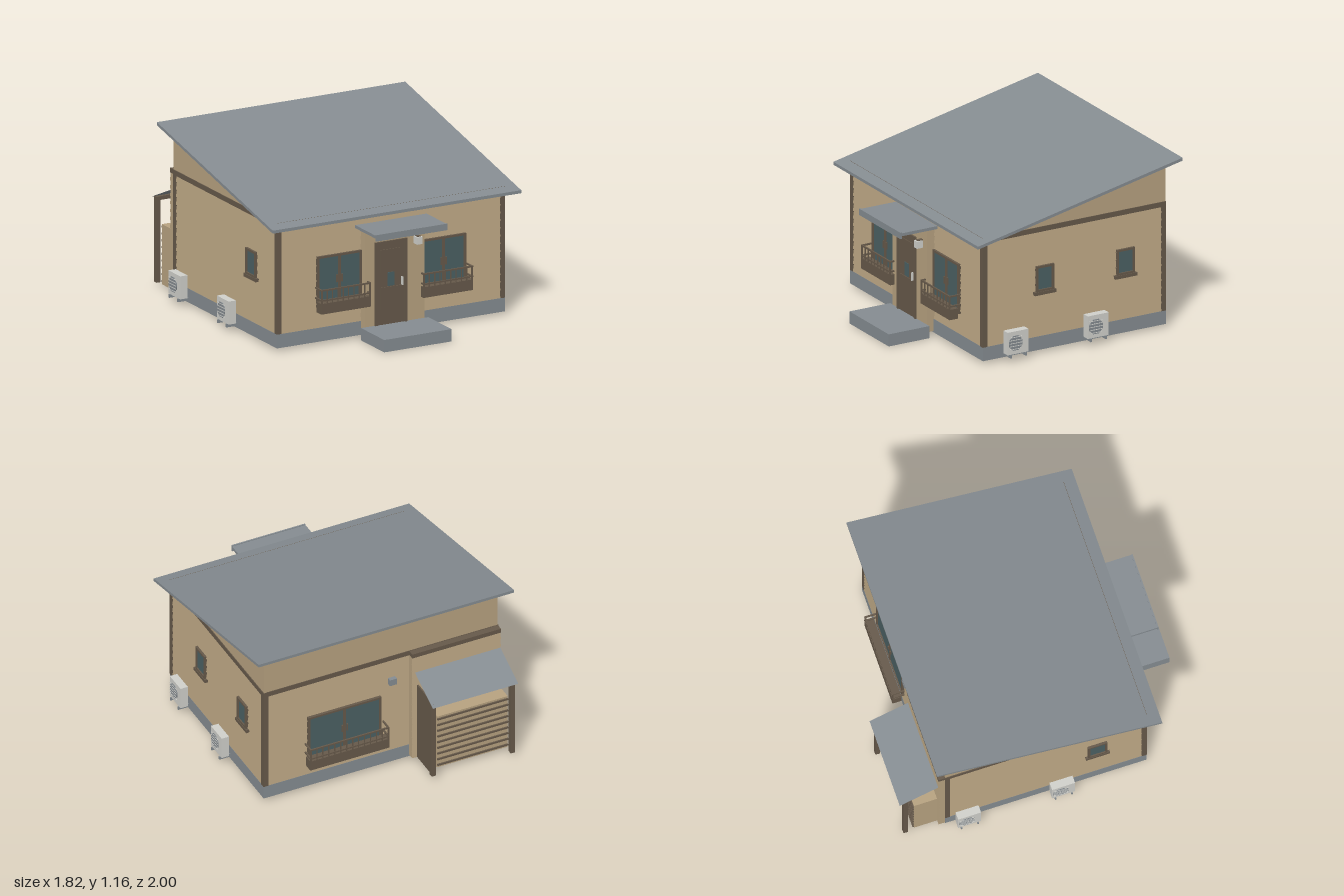
import * as THREE from 'three';

const mat = (name, color, side = THREE.FrontSide) => {
  const m = new THREE.MeshStandardMaterial({ color, side });
  m.name = name;
  return m;
};

export function createModel() {
  const root = new THREE.Group();
  root.name = 'cabin';
  const tan = mat('tan wall', 0xb7a280);
  const brown = mat('brown trim', 0x66594a);
  const grey = mat('grey roof and concrete', 0x858c91);
  const sheet = mat('grey sheet', 0x858c91, THREE.DoubleSide);
  const glass = mat('window glass', 0x4b6063);
  const light = mat('light metal', 0xd0d0cb);

  const add = (parent, name, geo, m) => {
    const mesh = new THREE.Mesh(geo, m);
    mesh.name = name;
    parent.add(mesh);
    return mesh;
  };
  // Box given by its minimum and maximum along each axis
  const box = (parent, name, m, x0, x1, y0, y1, z0, z1) => {
    const b = add(parent, name, new THREE.BoxGeometry(x1 - x0, y1 - y0, z1 - z0), m);
    b.position.set((x0 + x1) / 2, (y0 + y1) / 2, (z0 + z1) / 2);
    return b;
  };
  const group = (parent, name, x = 0, y = 0, z = 0, turn = 0) => {
    const g = new THREE.Group();
    g.name = name;
    g.position.set(x, y, z);
    g.rotation.y = turn;
    parent.add(g);
    return g;
  };

  // Lapped boards facing +z with their outer edge on z = 0
  const siding = (parent, x0, x1, y0, y1, n) => {
    const s = new THREE.Shape();
    const step = (y1 - y0) / n;
    s.moveTo(-0.025, y0);
    for (let i = 0; i < n; i++) {
      s.lineTo(-0.001, y0 + i * step);
      s.lineTo(-0.009, y0 + (i + 1) * step);
    }
    s.lineTo(-0.025, y1);
    const geo = new THREE.ExtrudeGeometry(s, { depth: x1 - x0, bevelEnabled: false });
    geo.rotateY(-Math.PI / 2);
    geo.translate(x1, 0, 0);
    add(parent, 'lapSiding', geo, tan);
  };

  // Framed window, with the glass going through the wall
  const windowUnit = (parent, x, w, y0, y1, split) => {
    const g = group(parent, 'window', x);
    const h = w / 2, t = 0.014;
    box(g, 'glass', glass, -h + 0.004, h - 0.004, y0 + 0.004, y1 - 0.004, -0.028, 0.003);
    for (const s of [-1, 1]) {
      const c = s * (h - t / 2);
      box(g, 'frameSide', brown, c - t / 2, c + t / 2, y0, y1, -0.02, 0.012);
    }
    box(g, 'frameTop', brown, -h, h, y1 - t, y1, -0.02, 0.012);
    box(g, 'frameBottom', brown, -h, h, y0, y0 + t, -0.02, 0.012);
    if (split) {
      box(g, 'mullion', brown, -0.009, 0.009, y0, y1, -0.02, 0.01);
      for (const s of [-1, 1]) box(g, 'handle', brown, s * 0.018 - 0.004, s * 0.018 + 0.004, y0 + 0.15, y0 + 0.2, 0, 0.014);
    } else box(g, 'sill', brown, -h - 0.015, h + 0.015, y0 - 0.022, y0, -0.01, 0.016);
  };

  // Flower box with a railing above it
  const planter = (parent, x, w, y) => {
    const g = group(parent, 'planter', x, y);
    const h = w / 2;
    box(g, 'trough', brown, -h, h, 0, 0.07, 0.02, 0.082);
    for (const [r, yr] of [['topRail', 0.152], ['lowRail', 0.085]]) {
      box(g, r, brown, -h, h, yr, yr + 0.01, 0.074, 0.084);
      for (const s of [-1, 1]) box(g, 'sideRail', brown, s * (h - 0.005) - 0.005, s * (h - 0.005) + 0.005, yr, yr + 0.01, 0, 0.08);
    }
    const n = Math.round(w / 0.042);
    for (let i = 0; i <= n; i++) {
      const bx = -h + 0.006 + (w - 0.012) * i / n;
      const r = i % n ? 0.003 : 0.006;
      box(g, 'baluster', brown, bx - r, bx + r, 0.06, 0.16, 0.076, 0.082);
    }
  };

  // Outdoor cooling unit with an octagonal fan
  const cooler = (parent, x) => {
    const g = group(parent, 'coolingUnit', x);
    box(g, 'casing', light, -0.077, 0.077, 0.055, 0.208, 0.018, 0.07);
    const fan = add(g, 'fan', new THREE.CylinderGeometry(0.053, 0.053, 0.006, 8), grey);
    fan.rotation.set(Math.PI / 2, Math.PI / 8, 0);
    fan.position.set(-0.018, 0.13, 0.071);
    for (let i = -2; i <= 2; i++) box(g, 'grille', light, -0.066, 0.03, 0.13 + i * 0.02 - 0.002, 0.13 + i * 0.02 + 0.002, 0.073, 0.076);
    for (const s of [-1, 1]) box(g, 'bracket', grey, s * 0.055 - 0.005, s * 0.055 + 0.005, 0.033, 0.055, -0.005, 0.078);
  };

  // One side of the house, built facing +z: base, boards and trim
  const side = (name, turn, dist, x0, x1) => {
    const a = new THREE.Vector3(0, 0, dist).applyAxisAngle(new THREE.Vector3(0, 1, 0), turn);
    const g = group(root, name, a.x, 0, a.z, turn);
    box(g, 'foundation', grey, x0, x1, 0.02, 0.112, -0.025, 0);
    siding(g, x0 + 0.01, x1 - 0.01, 0.112, 0.83, 14);
    box(g, 'cornerTrim', brown, x0, x0 + 0.032, 0.112, 0.85, -0.02, 0.002);
    box(g, 'cornerTrim', brown, x1 - 0.032, x1, 0.112, 0.85, -0.02, 0.002);
    box(g, 'topBand', brown, x0, x1, 0.818, 0.852, -0.02, 0.002);
    return g;
  };
  const front = side('frontWall', 0, 0.65, -0.83, 0.83);
  const back = side('backWall', Math.PI, 0.70, -0.83, 0.83);
  const left = side('leftWall', Math.PI / 2, 0.83, -0.65, 0.70);
  const right = side('rightWall', -Math.PI / 2, 0.83, -0.70, 0.65);

  for (const s of [-1, 1]) {
    windowUnit(front, s * 0.38, 0.325, 0.25, 0.587, true);
    planter(front, s * 0.372, 0.362, 0.225);
  }
  windowUnit(back, -0.26, 0.52, 0.225, 0.56, true);
  planter(back, -0.26, 0.56, 0.2);
  for (const x of [-0.195, 0.40]) windowUnit(left, x, 0.13, 0.417, 0.59, false);
  windowUnit(right, 0.32, 0.13, 0.417, 0.59, false);
  for (const x of [-0.432, 0.16]) cooler(left, x);
  for (const x of [-0.56, 0.07]) cooler(right, x);

  // Sloping upper walls and roof slab
  const roofY = z => 0.835 + 0.212 * (0.73 - z);
  for (const s of [-1, 1]) {
    const gable = new THREE.Shape([[0.65, 0.835], [0.65, 0.84], [-0.70, 1.126], [-0.70, 0.835]]
      .map(([z, y]) => new THREE.Vector2(-z, y)));
    const geo = new THREE.ExtrudeGeometry(gable, { depth: 0.02, bevelEnabled: false });
    geo.rotateY(Math.PI / 2);
    add(root, 'gableWall', geo, tan).position.x = s > 0 ? 0.807 : -0.827;
  }
  box(root, 'upperBackWall', tan, -0.827, 0.827, 0.84, 1.122, -0.698, -0.678);
  const slab = new THREE.Shape([[0.73, 0], [0.73, -0.02], [-0.78, -0.02], [-0.78, 0]]
    .map(([z, d]) => new THREE.Vector2(-z, roofY(z) + d)));
  const roofGeo = new THREE.ExtrudeGeometry(slab, { depth: 1.81, bevelEnabled: false });
  roofGeo.rotateY(Math.PI / 2);
  add(root, 'roof', roofGeo, grey).position.x = -0.905;

  // Entrance: porch wall, step, canopy, door and lamp
  const entry = group(root, 'entrance');
  box(entry, 'porchWall', tan, -0.217, 0.215, 0.03, 0.73, 0.63, 0.70);
  box(entry, 'step', grey, -0.245, 0.245, 0, 0.082, 0.70, 1.0);
  box(entry, 'canopy', grey, -0.26, 0.26, 0.735, 0.755, 0.65, 0.92);
  box(entry, 'canopyLip', grey, -0.26, 0.26, 0.717, 0.76, 0.912, 0.922);
  const door = group(entry, 'door', -0.03, 0, 0.70);
  box(door, 'leaf', brown, -0.105, 0.105, 0.08, 0.62, -0.01, 0.004);
  for (const s of [-1, 1]) box(door, 'jamb', brown, s * 0.108 - 0.009, s * 0.108 + 0.009, 0.08, 0.635, -0.01, 0.012);
  box(door, 'lintel', brown, -0.117, 0.117, 0.617, 0.635, -0.01, 0.012);
  box(door, 'upperPanel', brown, -0.077, 0.077, 0.43, 0.58, 0, 0.009);
  box(door, 'lowerPanel', brown, -0.077, 0.077, 0.185, 0.33, 0, 0.009);
  box(door, 'doorGlass', glass, -0.025, 0.025, 0.335, 0.425, 0, 0.008);
  box(door, 'doorHandle', light, 0.075, 0.082, 0.33, 0.385, 0.004, 0.018);
  box(entry, 'lamp', light, 0.135, 0.175, 0.592, 0.64, 0.705, 0.75);
  box(entry, 'lampMount', brown, 0.142, 0.168, 0.635, 0.645, 0.70, 0.74);
  box(root, 'backLamp', grey, -0.10, -0.05, 0.64, 0.685, -0.73, -0.70);

  // Rear lean-to: raised wall, posts, side panel, sheet roof and slatted bin
  const shed = group(root, 'leanTo');
  const shedWall = group(shed, 'leanToWall', -0.515, 0, -0.745, Math.PI);
  siding(shedWall, -0.314, 0.314, 0.03, 0.82, 15);
  box(shedWall, 'wallCore', tan, -0.314, 0.314, 0.03, 0.82, -0.05, -0.01);
  box(shedWall, 'wallTopBand', brown, -0.314, 0.314, 0.82, 0.85, -0.05, 0);
  for (const x of [-0.80, -0.24]) box(shed, 'post', brown, x - 0.015, x + 0.015, 0.03, 0.60, -0.975, -0.945);
  box(shed, 'beam', brown, -0.815, -0.225, 0.575, 0.60, -0.972, -0.95);
  box(shed, 'sidePanel', brown, -0.245, -0.235, 0.03, 0.60, -0.96, -0.745);
  const drop = 0.115, run = 0.258;
  const lid = add(shed, 'leanToRoof', new THREE.PlaneGeometry(0.605, Math.hypot(drop, run)), sheet);
  lid.rotation.x = -Math.PI / 2 - Math.atan2(drop, run);
  lid.position.set(-0.522, 0.645, -0.874);
  box(shed, 'bin', tan, -0.80, -0.30, 0.03, 0.43, -0.90, -0.745);
  for (let i = 0; i < 9; i++) box(shed, 'binSlat', brown, -0.80, -0.30, 0.045 + i * 0.045, 0.057 + i * 0.045, -0.909, -0.90);

  return root;
}
